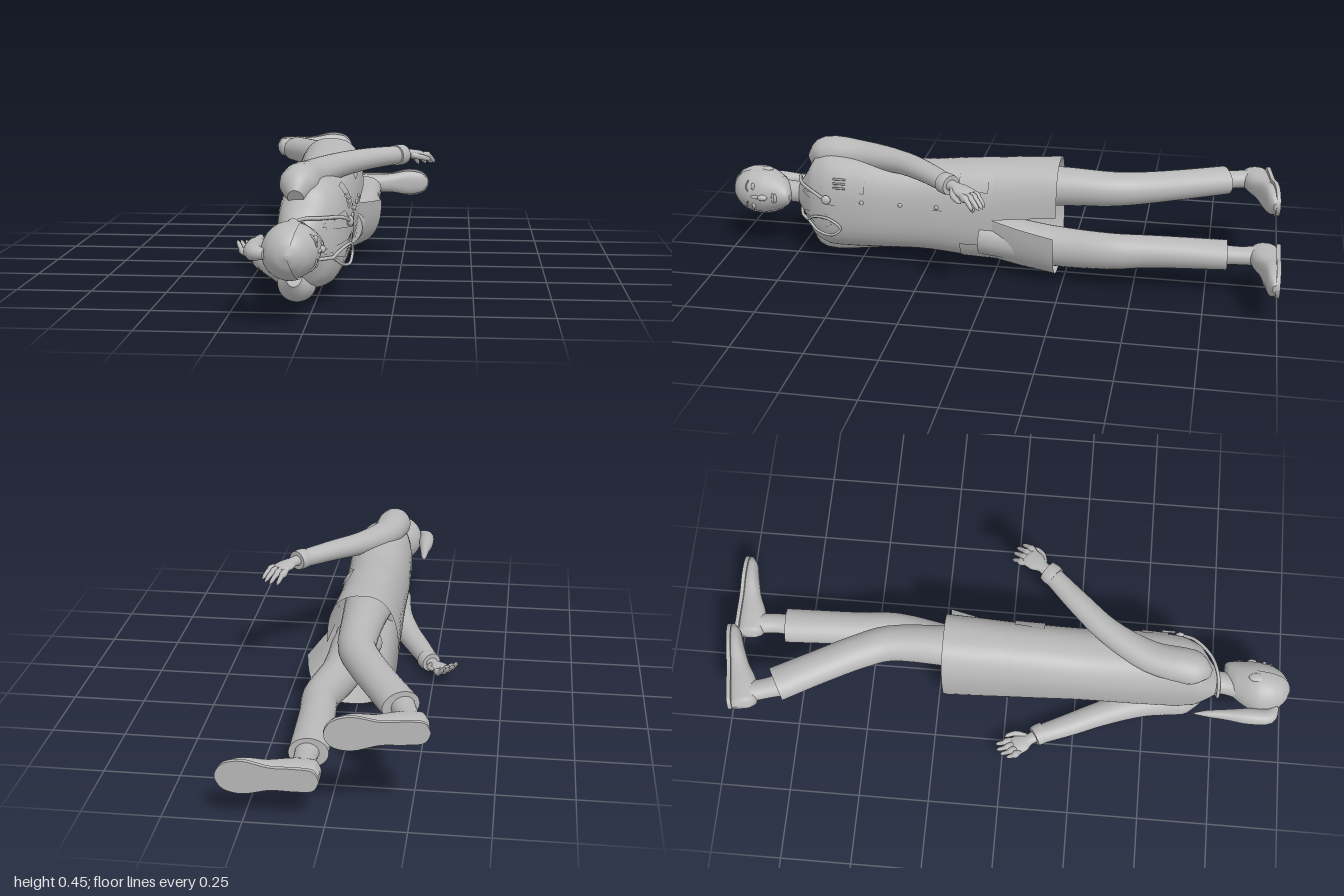
import * as THREE from 'three';

const V = (x, y, z) => new THREE.Vector3(x, y, z);
const MID = 0.226; // body centre line in y; the figure lies on its side, head at +z, chest towards +x

// Loft of superellipse rings. Each row is [x, y, z, radius in the xz plane, radius along y].
function sweep(rows, { axis = null, p = 1, t0 = 0, t1 = Math.PI * 2, cap = true, seg = 28, warp = null } = {}) {
  const centre = new THREE.CatmullRomCurve3(rows.map(r => V(r[0], r[1], r[2])));
  const size = new THREE.CatmullRomCurve3(rows.map(r => V(r[3], r[4], 0)));
  const n = (rows.length - 1) * 4, pos = [], idx = [];
  const closed = t1 - t0 > 6.28, cols = closed ? seg : seg + 1;
  const pw = v => Math.sign(v) * Math.pow(Math.abs(v), p);
  for (let i = 0; i <= n; i++) {
    const c = centre.getPoint(i / n), s = size.getPoint(i / n);
    const u = (axis || centre.getTangent(i / n)).clone().cross(V(0, 1, 0)).normalize();
    const v = V(0, 1, 0);
    if (!axis) v.crossVectors(u, centre.getTangent(i / n)).normalize();
    for (let j = 0; j < cols; j++) {
      const t = t0 + (t1 - t0) * j / seg;
      const q = c.clone().addScaledVector(u, Math.max(s.x, 0.001) * pw(Math.cos(t)))
        .addScaledVector(v, Math.max(s.y, 0.001) * pw(Math.sin(t)));
      if (warp) warp(q, t, i / n);
      pos.push(q.x, q.y, q.z);
    }
  }
  for (let i = 0; i < n; i++) for (let j = 0; j < seg; j++) {
    const a = i * cols + j, b = i * cols + (j + 1) % cols;
    idx.push(a, a + cols, b, b, a + cols, b + cols);
  }
  if (cap && closed) for (const end of [0, n]) {
    const base = pos.length / 3, c = centre.getPoint(end / n);
    for (let j = 0; j < cols * 3; j++) pos.push(pos[end * cols * 3 + j]);
    pos.push(c.x, c.y, c.z);
    for (let j = 0; j < cols; j++) {
      const a = base + j, b = base + (j + 1) % cols;
      idx.push(base + cols, ...(end ? [b, a] : [a, b]));
    }
  }
  const g = new THREE.BufferGeometry();
  g.setAttribute('position', new THREE.Float32BufferAttribute(pos, 3));
  g.setIndex(idx);
  g.computeVertexNormals();
  return g;
}

// Coat outline: [z, back x, front x, half width]
const COAT = [[0.735, -0.085, 0.005, 0.045], [0.705, -0.1, 0.035, 0.09], [0.67, -0.112, 0.07, 0.15], [0.6, -0.12, 0.098, 0.175],
  [0.45, -0.125, 0.108, 0.17], [0.28, -0.127, 0.102, 0.165], [0.1, -0.132, 0.1, 0.18], [0, -0.135, 0.1, 0.187]];
const ring = ([z, b, f, w]) => [(b + f) / 2, MID, z, (f - b) / 2, w];
const POW = 0.82;

// Front surface of the coat at (y, z)
function front(y, z, off = 0) {
  let i = 0;
  while (i < COAT.length - 2 && z < COAT[i + 1][0]) i++;
  const k = (COAT[i][0] - z) / (COAT[i][0] - COAT[i + 1][0]);
  const [, b, f, w] = COAT[i].map((v, j) => v + (COAT[i + 1][j] - v) * k);
  const s = Math.min(1, Math.abs(y - MID) / w);
  return V((b + f) / 2 + (f - b) / 2 * Math.pow(1 - Math.pow(s, 2 / POW), POW / 2) + off, y, z);
}

// Thin cloth panel laid on the coat front; corners are [y, z]
function panel(c00, c10, c11, c01, off) {
  const g = new THREE.PlaneGeometry(1, 1, 6, 8), a = g.attributes.position;
  for (let i = 0; i < a.count; i++) {
    const s = a.getX(i) + 0.5, t = a.getY(i) + 0.5;
    const f = k => (c00[k] * (1 - s) + c10[k] * s) * (1 - t) + (c01[k] * (1 - s) + c11[k] * s) * t;
    const q = front(f(0), f(1), off);
    a.setXYZ(i, q.x, q.y, q.z);
  }
  g.computeVertexNormals();
  return g;
}

export function createModel() {
  const root = new THREE.Group();
  const grey = new THREE.MeshStandardMaterial({ color: 0xb8b8b8, side: THREE.DoubleSide });
  grey.name = 'plain grey';
  const add = (name, geo, parent = root) => {
    const m = new THREE.Mesh(geo, grey);
    m.name = name;
    parent.add(m);
    return m;
  };
  const ball = (name, x, y, z, sx, sy, sz) => {
    const m = add(name, new THREE.SphereGeometry(1, 18, 12));
    m.position.set(x, y, z);
    m.scale.set(sx, sy, sz);
    return m;
  };
  const tube = (name, pts, r) => add(name, new THREE.TubeGeometry(new THREE.CatmullRomCurve3(pts), pts.length * 8, r, 8));
  const down = V(0, 0, -1);

  // Head, hair and neck
  const HEAD = [[0.996, -0.05, -0.04, 0.005], [0.985, -0.08, -0.01, 0.036], [0.96, -0.108, 0.018, 0.064], [0.92, -0.126, 0.037, 0.081],
    [0.88, -0.127, 0.043, 0.084], [0.84, -0.112, 0.043, 0.075], [0.8, -0.085, 0.042, 0.056], [0.775, -0.045, 0.038, 0.036], [0.765, -0.01, 0.028, 0.015]];
  add('head', sweep(HEAD.map(ring), { axis: down }));
  add('hair', sweep(HEAD.slice(0, 7).map(([z, b, f, w]) => ring([z + 0.002, b - 0.004, f + 0.003, w + 0.004])),
    { axis: down, t0: 1.25, t1: Math.PI * 2 - 1.25 }));
  add('ponytail', sweep([[-0.115, MID, 0.95, 0.012, 0.015], [-0.15, MID, 0.925, 0.028, 0.026], [-0.156, MID, 0.86, 0.029, 0.028],
    [-0.157, MID, 0.78, 0.019, 0.022], [-0.159, MID, 0.71, 0.012, 0.014], [-0.162, MID, 0.66, 0.002, 0.002]]));
  add('neck', sweep([[-0.05, MID, 0.83, 0.045, 0.042], [-0.04, MID, 0.76, 0.04, 0.038], [-0.04, MID, 0.69, 0.048, 0.052]]));
  ball('nose', 0.044, MID, 0.862, 0.013, 0.011, 0.018);
  ball('noseBridge', 0.039, MID, 0.885, 0.007, 0.007, 0.025);
  ball('upperLip', 0.041, MID, 0.823, 0.006, 0.021, 0.005);
  ball('lowerLip', 0.041, MID, 0.814, 0.007, 0.018, 0.006);
  for (const s of [1, -1]) {
    ball('ear', -0.04, MID + s * 0.083, 0.868, 0.016, 0.008, 0.027);
    ball('eye', 0.03, MID + s * 0.036, 0.9, 0.008, 0.014, 0.007);
    tube('eyebrow', [V(0.036, MID + s * 0.018, 0.92), V(0.032, MID + s * 0.036, 0.926), V(0.018, MID + s * 0.055, 0.92)], 0.003);
  }

  // Coat: closed upper body, then two skirt halves parted at the front
  add('coatBody', sweep(COAT.map(ring), { axis: down, p: POW, cap: false, seg: 48 }));
  for (const [s, f] of [[1, 0.1], [-1, 0.168]]) {
    const rows = [COAT[7], [-0.1, -0.14, (0.1 + f) / 2, 0.195], [-0.225, -0.145, f, 0.203]].map(ring);
    add(s > 0 ? 'coatSkirtLeft' : 'coatSkirtRight', sweep(rows, {
      axis: down, p: POW, t0: s > 0 ? 0 : Math.PI, t1: s > 0 ? Math.PI : Math.PI * 2, seg: 24,
      warp: (q, t, k) => { q.y += s * 0.025 * k * Math.pow(Math.max(0, Math.cos(t)), 2); },
    }));
    const y = d => MID + s * d;
    add('lapel', panel([y(0.005), 0.5], [y(0.01), 0.51], [y(0.05), 0.7], [y(0.035), 0.71], 0.006));
    add('lapelWing', panel([y(0.008), 0.505], [y(0.075), 0.61], [y(0.065), 0.66], [y(0.03), 0.7], 0.005));
    add('sidePocket', panel([y(0.1), 0.015], [y(0.165), 0.015], [y(0.165), 0.12], [y(0.1), 0.12], 0.006));
  }
  add('frontEdge', panel([0.25, 0.002], [0.254, 0.002], [0.254, 0.5], [0.25, 0.5], 0.004));
  for (const z of [0.47, 0.33, 0.2, 0.07]) {
    const q = front(0.262, z, 0.003);
    ball('button', q.x, q.y, q.z, 0.005, 0.008, 0.008);
  }
  add('chestPocket', panel([0.295, 0.46], [0.37, 0.46], [0.37, 0.55], [0.295, 0.55], 0.006));
  for (const y of [0.31, 0.325, 0.34]) tube('pen', [front(y, 0.53, 0.01), front(y, 0.55, 0.01), front(y, 0.575, 0.012)], 0.004);

  // Stethoscope draped round the neck
  tube('stethoscopeTube', [front(0.265, 0.6, 0.016), front(0.285, 0.65, 0.018), V(0.03, 0.292, 0.712), V(-0.04, 0.288, 0.738),
    V(-0.092, MID, 0.745), V(-0.04, 0.164, 0.738), V(0.03, 0.165, 0.712), front(0.165, 0.68, 0.015)], 0.006);
  tube('stethoscopeLoop', [front(0.165, 0.685, 0.015), front(0.135, 0.64, 0.02), front(0.13, 0.58, 0.022), front(0.16, 0.55, 0.018),
    front(0.192, 0.59, 0.016), front(0.19, 0.65, 0.016), front(0.165, 0.685, 0.015)], 0.005);
  const piece = front(0.265, 0.6, 0.014);
  ball('chestPiece', piece.x, piece.y, piece.z, 0.011, 0.017, 0.017);

  // Arms with cuffs
  const ARMS = {
    left: [[-0.052, 0.35, 0.69, 0.025, 0.03], [-0.048, 0.385, 0.63, 0.062, 0.06], [-0.025, 0.393, 0.49, 0.056, 0.05],
      [0.052, 0.406, 0.34, 0.045, 0.041], [0.14, 0.414, 0.235, 0.041, 0.036], [0.25, 0.415, 0.12, 0.033, 0.031]],
    right: [[-0.058, 0.1, 0.69, 0.025, 0.03], [-0.055, 0.07, 0.63, 0.062, 0.06], [-0.08, 0.057, 0.49, 0.054, 0.049],
      [-0.135, 0.045, 0.34, 0.045, 0.041], [-0.18, 0.04, 0.24, 0.041, 0.037], [-0.232, 0.037, 0.12, 0.034, 0.032]],
  };
  for (const [side, rows] of Object.entries(ARMS)) {
    add(side + 'Sleeve', sweep(rows));
    const [x, y, z] = rows[5], s = side === 'left' ? -1 : 1; // s: curl towards the body
    const dir = side === 'left' ? V(0.6, 0, -0.8) : V(-0.55, 0, -0.835);
    const across = dir.clone().cross(V(0, 1, 0));
    const at = (l, w, h, a, b) => {
      const q = V(x, y, z).addScaledVector(dir, l).addScaledVector(across, w);
      return [q.x, q.y + s * h, q.z, a, b];
    };
    add(side + 'Cuff', sweep([at(-0.03, 0, 0, 0.037, 0.035), at(-0.01, 0, 0, 0.039, 0.036), at(0.01, 0, 0, 0.036, 0.034)]));
    add(side + 'Palm', sweep([at(0, 0, 0, 0.022, 0.019), at(0.03, 0, 0, 0.021, 0.017), at(0.06, 0, 0.003, 0.034, 0.016),
      at(0.09, 0, 0.006, 0.035, 0.014), at(0.103, 0, 0.008, 0.028, 0.009)]));
    for (let i = 0; i < 4; i++) {
      const w = 0.026 - i * 0.0175, len = [0.062, 0.07, 0.066, 0.052][i], h = 0.006 + i * 0.003;
      add(side + 'Finger', sweep([at(0.085, w, 0.006, 0.009, 0.009), at(0.09 + len * 0.5, w * 1.15, h + 0.008, 0.009, 0.009),
        at(0.09 + len * 0.85, w * 1.2, h + 0.026, 0.007, 0.007), at(0.09 + len, w * 1.2, h + 0.034, 0.002, 0.002)], { seg: 10 }));
    }
    add(side + 'Thumb', sweep([at(0.035, 0.015, 0.003, 0.011, 0.011), at(0.065, 0.04, 0.012, 0.01, 0.01),
      at(0.095, 0.045, 0.02, 0.008, 0.008), at(0.108, 0.044, 0.024, 0.002, 0.002)], { seg: 10 }));
  }

  // Trousers and ankles
  add('leftTrouser', sweep([[-0.02, 0.305, 0.04, 0.09, 0.075], [-0.02, 0.325, -0.2, 0.072, 0.07], [-0.028, 0.325, -0.42, 0.063, 0.06],
    [-0.065, 0.322, -0.52, 0.061, 0.056], [-0.135, 0.318, -0.66, 0.06, 0.052], [-0.207, 0.315, -0.795, 0.062, 0.049]]));
  add('rightTrouser', sweep([[0.025, 0.145, 0.04, 0.09, 0.075], [0.055, 0.128, -0.2, 0.07, 0.072], [0.094, 0.14, -0.42, 0.062, 0.064],
    [0.086, 0.146, -0.55, 0.06, 0.057], [0.074, 0.15, -0.82, 0.063, 0.05]]));
  add('leftAnkle', sweep([[-0.205, 0.314, -0.77, 0.04, 0.035], [-0.228, 0.313, -0.84, 0.036, 0.031], [-0.248, 0.312, -0.91, 0.038, 0.033]]));
  add('rightAnkle', sweep([[0.078, 0.151, -0.79, 0.04, 0.035], [0.078, 0.152, -0.86, 0.036, 0.031], [0.072, 0.153, -0.92, 0.038, 0.033]]));

  // Shoes: heel at the local origin, toe along +x, sole at z = 0
  const sole = new THREE.Shape();
  sole.setFromPoints(new THREE.SplineCurve([[0, 0], [0.02, -0.033], [0.08, -0.038], [0.15, -0.038], [0.23, -0.055], [0.29, -0.042], [0.315, 0],
    [0.29, 0.042], [0.23, 0.055], [0.15, 0.038], [0.08, 0.038], [0.02, 0.033], [0, 0]].map(q => new THREE.Vector2(...q))).getPoints(60));
  const soleGeo = new THREE.ExtrudeGeometry(sole, { depth: 0.014, bevelEnabled: false });
  const shoeGeo = sweep([[0.003, 0, 0.045, 0.03, 0.012], [0.02, 0, 0.053, 0.046, 0.034], [0.07, 0, 0.054, 0.05, 0.037], [0.115, 0, 0.049, 0.045, 0.037],
    [0.16, 0, 0.039, 0.035, 0.039], [0.23, 0, 0.029, 0.026, 0.05], [0.285, 0, 0.023, 0.02, 0.04], [0.312, 0, 0.017, 0.007, 0.012]],
  { axis: V(1, 0, 0), p: 0.85 });
  for (const [name, x, y, z, turn] of [['leftShoe', -0.31, 0.31, -0.948, 0.14], ['rightShoe', 0.015, 0.154, -1, 0]]) {
    const g = new THREE.Group();
    g.name = name;
    g.position.set(x, y, z);
    g.rotation.y = turn;
    add('sole', soleGeo, g);
    add('upper', shoeGeo, g);
    root.add(g);
  }
  return root;
}
